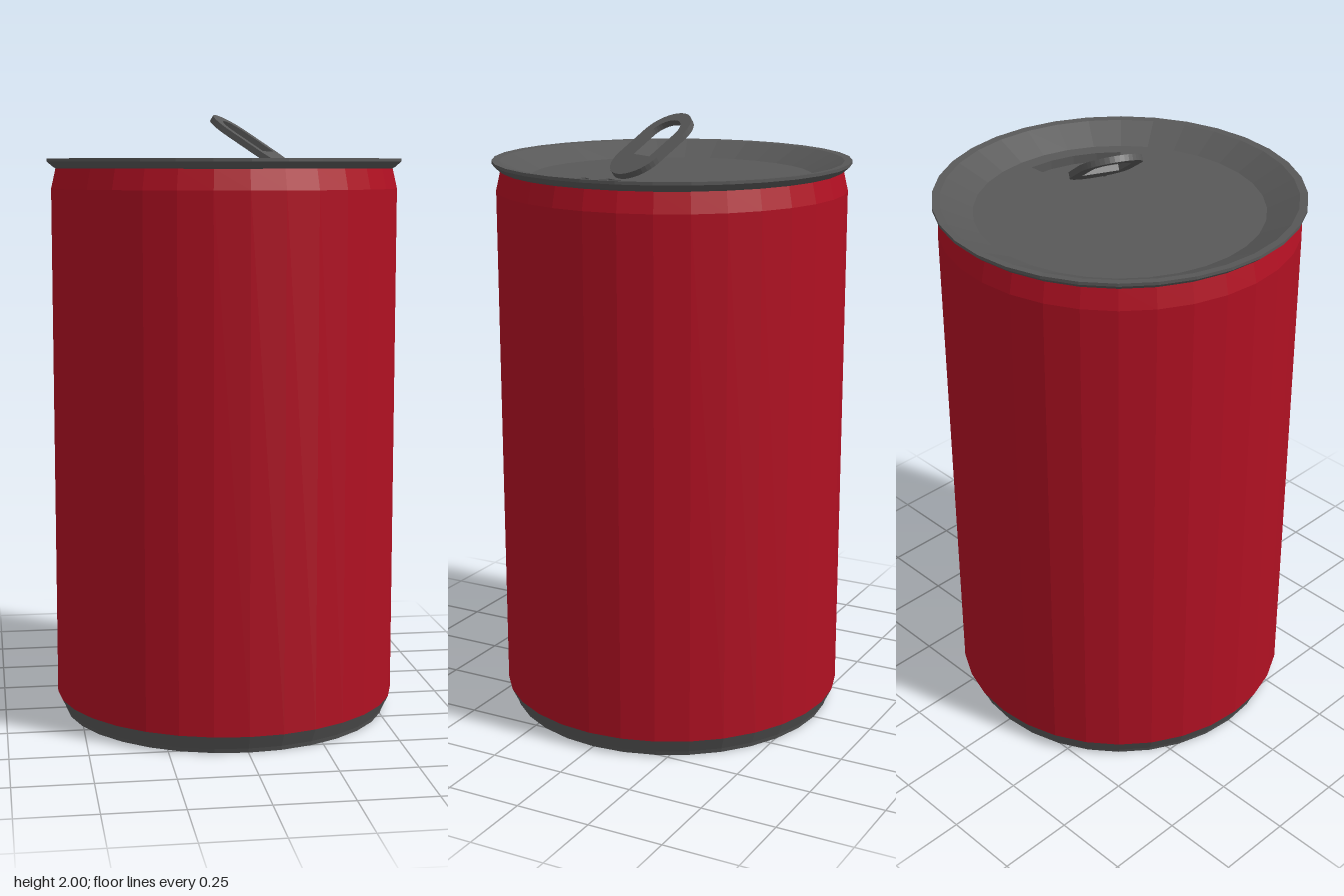
import * as THREE from 'three';

const SIDES = 32;
const PANEL_Y = 1.805;
const SINK = 0.03;

const metal = new THREE.MeshStandardMaterial({ color: 0x585858, flatShading: true, side: THREE.DoubleSide });
const red = new THREE.MeshStandardMaterial({ color: 0xb01022, flatShading: true, side: THREE.DoubleSide });

function add(group, name, geometry, material) {
  const mesh = new THREE.Mesh(geometry, material);
  mesh.name = name;
  group.add(mesh);
  return mesh;
}

// Turned part from [radius, height] pairs
function turned(profile) {
  return new THREE.LatheGeometry(profile.map(([r, y]) => new THREE.Vector2(r, y)), SIDES);
}

// Point on the lid: radius and step around the can, with shape y = -z
function polar(r, k) {
  const a = (k / SIDES) * Math.PI * 2;
  return new THREE.Vector2(r * Math.cos(a), -r * Math.sin(a));
}

function flat(shape, y) {
  return new THREE.ShapeGeometry(shape).rotateX(-Math.PI / 2).translate(0, y, 0);
}

// Short vertical wall below a closed outline
function wall(outline, top, bottom) {
  const positions = [];
  outline.forEach((p, i) => {
    const q = outline[(i + 1) % outline.length];
    positions.push(p.x, top, -p.y, p.x, bottom, -p.y, q.x, bottom, -q.y);
    positions.push(p.x, top, -p.y, q.x, bottom, -q.y, q.x, top, -q.y);
  });
  const geometry = new THREE.BufferGeometry();
  geometry.setAttribute('position', new THREE.Float32BufferAttribute(positions, 3));
  geometry.computeVertexNormals();
  return geometry;
}

// Pull tab: rounded at both ends, with a hole squared off at the low end
function pullTab() {
  const half = 0.06, w = 0.1, inner = 0.062;
  const shape = new THREE.Shape();
  shape.absarc(half, 0, w, -Math.PI / 2, Math.PI / 2, false);
  shape.absarc(-half, 0, w, Math.PI / 2, Math.PI * 1.5, false);
  shape.closePath();
  const hole = new THREE.Path();
  hole.moveTo(half, -inner);
  hole.lineTo(half, inner);
  hole.absarc(-half, 0, inner, Math.PI / 2, Math.PI * 1.5, false);
  hole.closePath();
  shape.holes.push(hole);
  return new THREE.ExtrudeGeometry(shape, { depth: 0.02, bevelEnabled: false, curveSegments: 10 })
    .translate(0, 0, -0.01)
    .rotateX(-Math.PI / 2)
    .rotateZ(-THREE.MathUtils.degToRad(33))
    .rotateY(-THREE.MathUtils.degToRad(25))
    .translate(0.09, 1.905, 0.025);
}

export function createModel() {
  const can = new THREE.Group();
  can.name = 'drinkCan';

  // Base with a shallow recess, painted wall and flared rim
  add(can, 'base', turned([[0, 0.03], [0.5, 0.03], [0.52, 0], [0.545, 0], [0.55, 0.015], [0.572, 0.06]]), metal);
  add(can, 'body', turned([[0.572, 0.06], [0.572, 1.76], [0.557, 1.825]]), red);
  add(can, 'rim', turned([
    [0.557, 1.825], [0.565, 1.83], [0.585, 1.847], [0.585, 1.857], [0.56, 1.855], [0.46, PANEL_Y],
  ]), metal);

  // Lid panel with the pressed-in mouth piece
  const mouth = [
    ...[0, 1, 2, 3, 4].map((k) => polar(0.41, k)),
    polar(0.29, 4), polar(0.29, 3),
    ...[3, 2, 1].map((k) => polar(0.23, k)),
    polar(0.29, 1), polar(0.29, 0),
  ];
  const panel = new THREE.Shape(Array.from({ length: SIDES }, (_, k) => polar(0.46, -k)));
  panel.holes.push(new THREE.Path(mouth));
  add(can, 'lidPanel', flat(panel, PANEL_Y), metal);
  add(can, 'mouthFloor', flat(new THREE.Shape(mouth), PANEL_Y - SINK), metal);
  add(can, 'mouthWall', wall(mouth, PANEL_Y, PANEL_Y - SINK), metal);

  add(can, 'pullTab', pullTab(), metal);
  return can;
}
